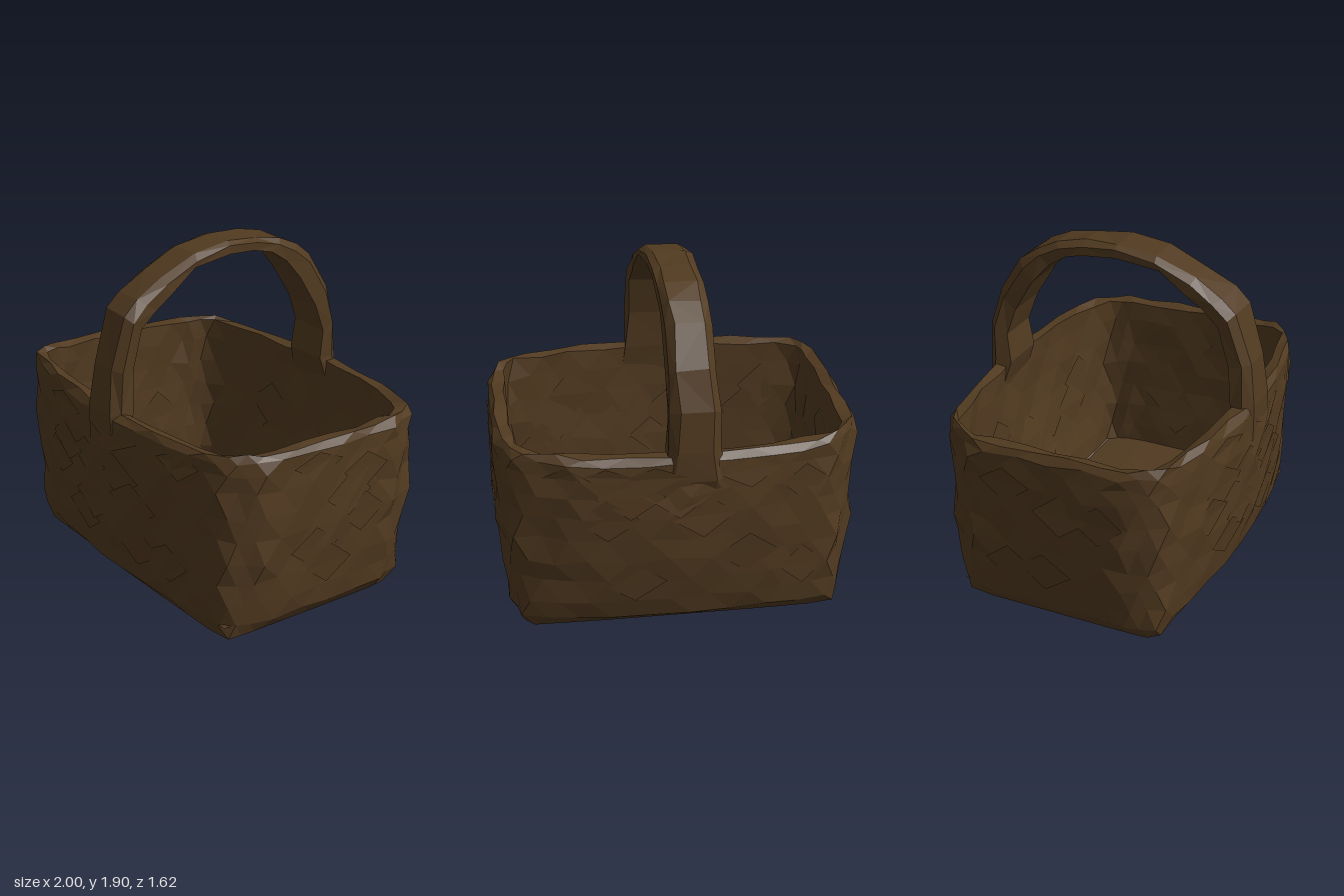
import * as THREE from 'three';

// Plan outlines, counter-clockwise from above: [x, z] at the outer brim, inner brim and base
const BRIM = [[-.985, .45], [-.89, .66], [-.5, .75], [0, .8], [.52, .74], [.86, .63], [.975, .44], [.985, 0],
  [.985, -.42], [.88, -.65], [.55, -.77], [.05, -.8], [-.45, -.74], [-.8, -.67], [-.975, -.42], [-.98, 0]];
const INNER = [[-.9, .42], [-.87, .6], [-.48, .66], [0, .7], [.5, .66], [.85, .58], [.89, .42], [.89, 0],
  [.88, -.4], [.84, -.57], [.52, -.68], [.05, -.71], [-.45, -.66], [-.84, -.57], [-.89, -.4], [-.89, 0]];
const BASE = [[-.87, .45], [-.86, .62], [-.45, .62], [0, .63], [.45, .62], [.86, .61], [.87, .43], [.87, 0],
  [.87, -.4], [.85, -.56], [.45, -.57], [0, -.57], [-.45, -.57], [-.85, -.56], [-.87, -.4], [-.87, 0]];

// Section rows from the underside, up the outside, over the rim and down to the floor:
// [height, blend from base to brim, blend from outer to inner brim, scale, roughness]
const ROWS = [
  [0, 0, 0, 0, 0], [0, 0, 0, 1, 0],
  [.08, .5, 0, 1, .007], [.2, .66, 0, 1, .012], [.33, .78, 0, 1, .014], [.46, .88, 0, 1, .015],
  [.59, .95, 0, 1, .015], [.72, .99, 0, 1, .015], [.85, 1.01, 0, 1, .014], [.95, 1, 0, 1, .011], [1.02, .99, 0, 1, .009],
  [1.06, .98, .3, 1, .011], [1.045, 1, 1, 1, .01],
  [.93, 1, 1, 1, .012], [.78, .97, 1, 1, .014], [.63, .88, 1, 1, .014], [.48, .72, 1, 1, .014],
  [.33, .5, 1, 1, .012], [.18, .2, 1, 1, .008], [.07, 0, 1, 1, .003],
];
const STEPS = 36;
const hash = (a, b) => {
  const s = Math.sin(a * 127.1 + b * 311.7) * 43758.5453;
  return s - Math.floor(s);
};
const mix = (a, b, t) => a + (b - a) * t;
const tilt = (z) => .035 + .05 * z;

// Point on the basket surface for fractional row k and turn position u (0..16)
function surface(k, u, offset = 0) {
  const k0 = Math.min(Math.floor(k), ROWS.length - 2);
  const [y, t, inward, scale] = ROWS[k0].map((v, n) => mix(v, ROWS[k0 + 1][n], k - k0));
  const w = ((u % 16) + 16) % 16, i = Math.floor(w), j = (i + 1) % 16;
  const along = (plan, n) => mix(plan[i][n], plan[j][n], w - i);
  const at = (n) => mix(along(BASE, n), mix(along(BRIM, n), along(INNER, n), inward), t) * scale;
  const z = at(1) * (1 + offset / .78);
  return [at(0) * (1 + offset / .98), y + tilt(z), z];
}

function geometryFrom(positions, indices) {
  const g = new THREE.BufferGeometry();
  g.setAttribute('position', new THREE.Float32BufferAttribute(positions, 3));
  g.setIndex(indices);
  const flat = g.toNonIndexed();
  flat.computeVertexNormals();
  return flat;
}

// Skin of staggered rows, whose triangles pair up into woven diamonds
function skin(from, to) {
  const pos = [], idx = [];
  for (let k = from; k <= to; k++) {
    const rough = ROWS[k][4];
    for (let i = 0; i < STEPS; i++) {
      const u = (i + (k % 2) / 2) * 16 / STEPS;
      const weave = (i + (k >> 1)) % 2 ? .5 : -.5;
      const p = surface(k, u, rough * (weave + (hash(k, i) - .5) * 1.2));
      p[1] += rough * (hash(i, k + 40) - .5) * 2.4;
      pos.push(...p);
    }
  }
  for (let k = from; k < to; k++) {
    for (let i = 0; i < STEPS; i++) {
      const r = (k - from) * STEPS, n = (i + 1) % STEPS;
      const a = r + i, a1 = r + n, b = a + STEPS, b1 = a1 + STEPS;
      if (k % 2) idx.push(a, b1, b, a, a1, b1);
      else idx.push(a, a1, b, a1, b1, b);
    }
  }
  return geometryFrom(pos, idx);
}

// Raised woven strips: tilted diamonds along the four walls, clear of the corners
const CORNERS = [.5, 5.5, 8.5, 13.5];
function tiles(rowStart, rowEnd, side) {
  const pos = [], idx = [];
  for (let r = rowStart; r <= rowEnd; r++) {
    for (let c = 0; c < 32; c++) {
      const u = (c + (r % 2) / 2) / 2;
      if (hash(r + 9, c + 3) > .32 || CORNERS.some((v) => Math.abs(u - v) < .95)) continue;
      const n = pos.length / 3, s = hash(c, r) > .5 ? 1 : -1;
      const q = [[-.36, 0, .004], [0, -.95, .002], [.36, 0, .006], [0, .95, .013]];
      q.forEach(([du, dk, off]) => pos.push(...surface(r + dk * s, u + du * s, side * off)));
      idx.push(n, n + 1, n + 2, n, n + 2, n + 3);
    }
  }
  return geometryFrom(pos, idx);
}

// Slightly uneven sheet lying inside the walls
function floorGeometry() {
  const g = new THREE.PlaneGeometry(1.74, 1.18, 7, 5).rotateX(-Math.PI / 2).translate(0, 0, .035);
  const p = g.attributes.position;
  for (let i = 0; i < p.count; i++) {
    p.setY(i, .075 + tilt(p.getZ(i)) + (hash(i, 5) - .5) * .02);
    if (Math.abs(p.getX(i)) < .8) p.setX(i, p.getX(i) + (hash(i, 6) - .5) * .12);
  }
  return geometryFrom(p.array, [...g.index.array]);
}

// Arched handle, its feet sinking into the walls: [outer z, outer y, inner z, inner y] front to back
const ARCH = [
  [.74, .78, .72, .8], [.795, .92, .7, .94], [.79, 1.12, .67, 1.12], [.76, 1.36, .645, 1.34],
  [.67, 1.64, .59, 1.56], [.59, 1.71, .49, 1.64], [.44, 1.8, .4, 1.71], [.22, 1.88, .24, 1.815], [0, 1.91, 0, 1.845],
  [-.2, 1.89, -.17, 1.825], [-.37, 1.85, -.29, 1.795], [-.49, 1.79, -.4, 1.72], [-.6, 1.71, -.5, 1.61],
  [-.73, 1.5, -.62, 1.41], [-.785, 1.3, -.68, 1.24], [-.8, 1.08, -.66, 1.08], [-.8, .92, -.7, .94], [-.75, .78, -.73, .8],
];
function handleGeometry() {
  const section = [[-.085, 0], [.085, 0], [.128, .35], [.12, 1], [-.12, 1], [-.128, .35]];
  const pos = [], idx = [], m = section.length;
  ARCH.forEach(([oz, oy, iz, iy], k) => {
    const flare = 1 + Math.max(0, 1.2 - oy) * .8;
    section.forEach(([x, t], s) => {
      const wob = (n) => (hash(k * 6 + s, n) - .5) * .02;
      pos.push(x * flare + .03 * oz - .008 + wob(1), mix(oy, iy, t) + wob(2) * .6, mix(oz, iz, t) + wob(3) * .6);
    });
  });
  for (let k = 0; k < ARCH.length - 1; k++) {
    for (let s = 0; s < m; s++) {
      const a = k * m + s, b = k * m + (s + 1) % m;
      if ((k + s) % 2) idx.push(a, b, a + m, b, b + m, a + m);
      else idx.push(a, b, b + m, a, b + m, a + m);
    }
  }
  return geometryFrom(pos, idx);
}

export function createModel() {
  const model = new THREE.Group();
  model.name = 'basket';
  const wicker = new THREE.MeshStandardMaterial({ color: 0x513a20, flatShading: true, side: THREE.DoubleSide });
  wicker.name = 'brown wicker';
  const add = (name, geometry) => {
    const mesh = new THREE.Mesh(geometry, wicker);
    mesh.name = name;
    model.add(mesh);
  };
  add('underside', skin(0, 1));
  add('outerWall', skin(1, 10));
  add('rim', skin(10, 12));
  add('innerWall', skin(12, 19));
  add('floor', floorGeometry());
  add('outerWeave', tiles(4, 9, 1));
  add('innerWeave', tiles(14, 17, -1));
  add('handle', handleGeometry());
  return model;
}
